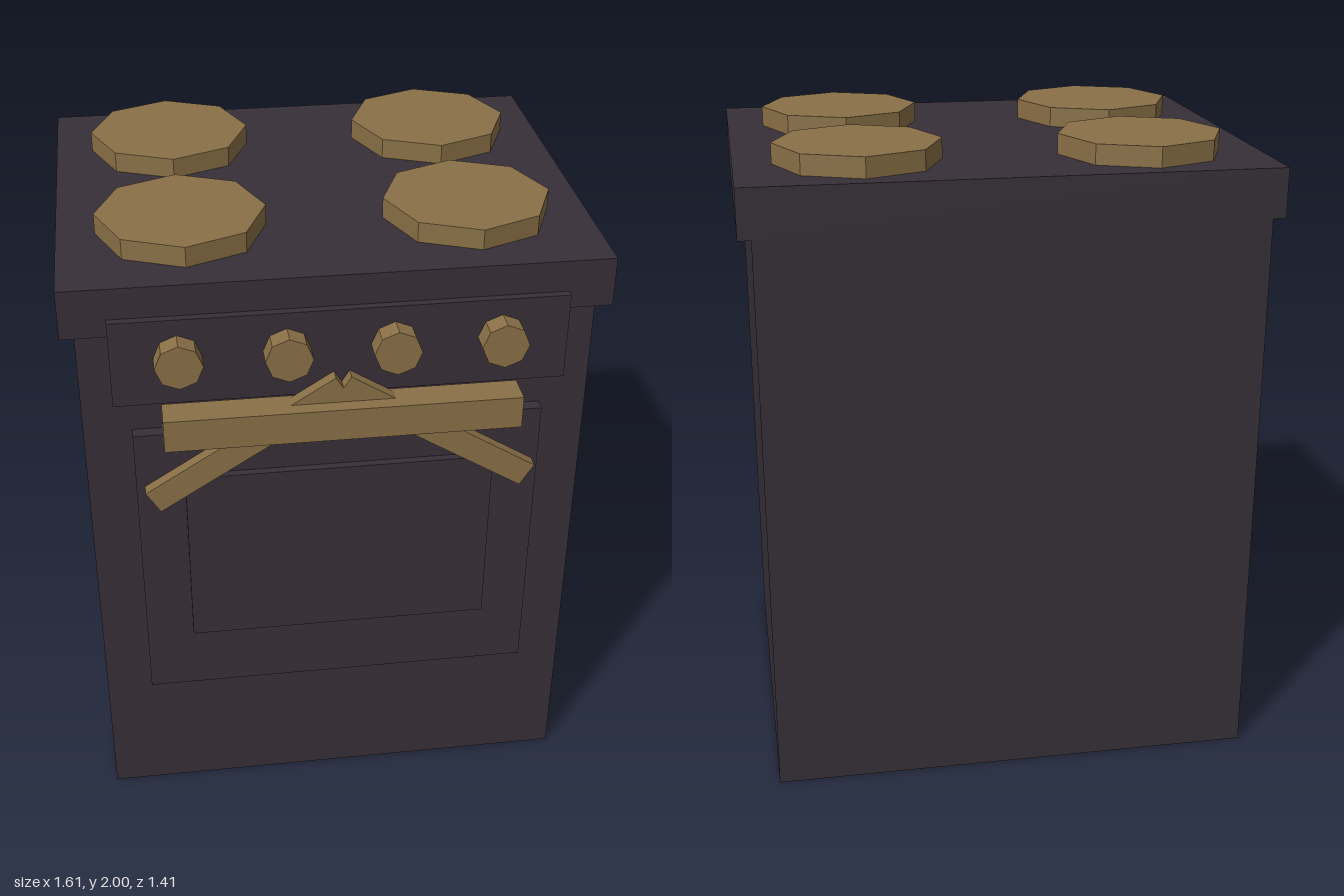
import * as THREE from 'three';

export function createModel() {
  const model = new THREE.Group();
  model.name = 'stove';

  const enamel = new THREE.MeshStandardMaterial({ color: 0x372f38, flatShading: true });
  enamel.name = 'dark enamel';
  const brass = new THREE.MeshStandardMaterial({ color: 0x8a7047, flatShading: true });
  brass.name = 'brass';

  const add = (name, geometry, material, x, y, z) => {
    const mesh = new THREE.Mesh(geometry, material);
    mesh.name = name;
    mesh.position.set(x, y, z);
    model.add(mesh);
    return mesh;
  };
  // Box given by its half width and its y and z ranges
  const slab = (name, material, halfWidth, y0, y1, z0, z1) =>
    add(name, new THREE.BoxGeometry(halfWidth * 2, y1 - y0, z1 - z0), material, 0, (y0 + y1) / 2, (z0 + z1) / 2);

  // Cabinet, cooktop and front panels
  slab('body', enamel, 0.765, 0, 1.785, -0.705, 0.555);
  slab('cooktop', enamel, 0.805, 1.785, 1.937, -0.705, 0.595);
  slab('controlPanel', enamel, 0.67, 1.567, 1.84, 0.55, 0.62);
  slab('ovenDoor', enamel, 0.62, 0.46, 1.443, 0.55, 0.595);
  slab('ovenWindow', enamel, 0.473, 0.687, 1.295, 0.59, 0.62);
  slab('doorHandle', brass, 0.53, 1.452, 1.555, 0.605, 0.705);

  // Octagonal burners
  const burner = new THREE.CylinderGeometry(0.256, 0.256, 0.065, 8);
  for (const x of [-0.433, 0.433]) {
    for (const z of [-0.395, 0.235]) add('burner', burner, brass, x, 1.9675, z);
  }

  // Octagonal knobs facing forward
  const knob = new THREE.CylinderGeometry(0.07, 0.07, 0.07, 8).rotateX(Math.PI / 2);
  for (const x of [-0.475, -0.16, 0.155, 0.47]) add('knob', knob, brass, x, 1.72, 0.65);

  // Slanted handle bars meeting at the middle
  const bar = new THREE.BoxGeometry(0.675, 0.081, 0.04);
  for (const side of [-1, 1]) {
    add('slantedBar', bar, brass, side * 0.287, 1.424, 0.64).rotation.z = -side * 0.562;
  }

  return model;
}
